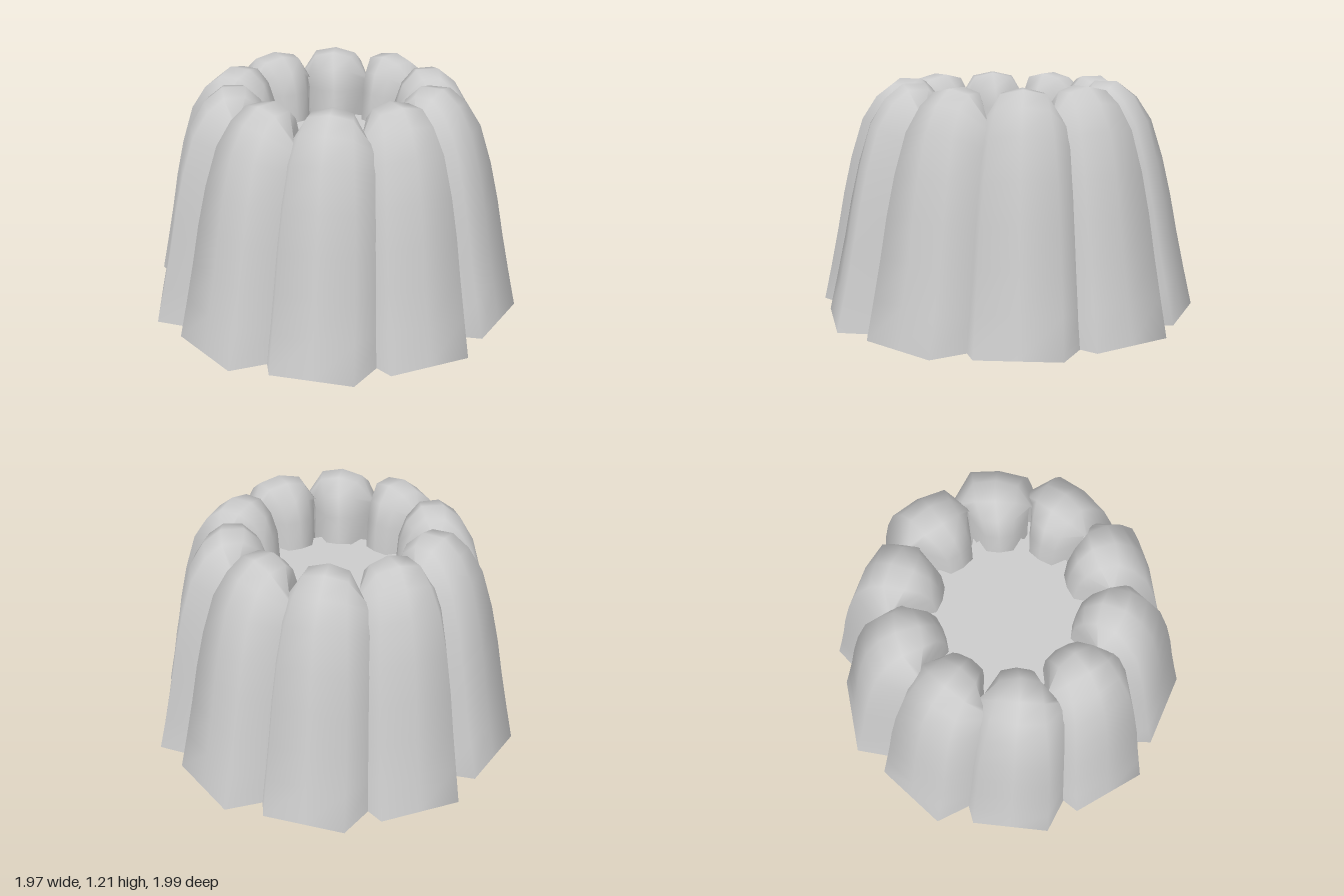
import * as THREE from 'three';

const LOBES = 10;

// Ridge of one lobe, from the outer foot over the crest and down into the hollow:
// radius, height, half width of the ridge, bulge of its middle, depth of the flanks
const RIDGE = [
  [0.955, 0.0, 0.21, 0.0, 0.2],
  [0.91, 0.2, 0.202, 0.004, 0.2],
  [0.868, 0.4, 0.193, 0.008, 0.2],
  [0.83, 0.6, 0.185, 0.012, 0.2],
  [0.785, 0.8, 0.172, 0.016, 0.19],
  [0.725, 1.0, 0.152, 0.02, 0.17],
  [0.65, 1.12, 0.13, 0.025, 0.15],
  [0.57, 1.185, 0.112, 0.025, 0.14],
  [0.47, 1.185, 0.1, 0.025, 0.13],
  [0.4, 1.12, 0.082, 0.02, 0.13],
  [0.36, 1.02, 0.072, 0.012, 0.13],
  [0.345, 0.8, 0.07, 0.01, 0.13],
];

// Five points across the ridge at station i, in the lobe's own frame (+x outward)
function crossSection(i) {
  const [r, y, half, bulge, depth] = RIDGE[i];
  const before = RIDGE[Math.max(i - 1, 0)];
  const after = RIDGE[Math.min(i + 1, RIDGE.length - 1)];
  const normal = new THREE.Vector2(after[1] - before[1], before[0] - after[0]).normalize();
  if (i === 0) normal.set(1, 0);
  // the lobe swings a little sideways as it runs outward
  const side = r > 0.5 ? 0.0125 + (r - 0.955) * 0.14 : -0.05 + (0.5 - r) * 0.15;
  const yaw = 0.14 * Math.min(1, Math.max(0, (r - 0.34) / 0.3));
  const flank = half + 0.08;
  return [[-flank, -depth], [-half, 0], [0, bulge], [half, 0], [flank, -depth]].map(([v, d]) => {
    const u = normal.x * d;
    return new THREE.Vector3(
      r + u * Math.cos(yaw) - v * Math.sin(yaw),
      y + normal.y * d,
      side + u * Math.sin(yaw) + v * Math.cos(yaw)
    );
  });
}

function buildGeometry(points, index) {
  const geometry = new THREE.BufferGeometry().setFromPoints(points);
  geometry.setIndex(index);
  geometry.computeVertexNormals();
  return geometry;
}

function lobeGeometry() {
  const points = RIDGE.flatMap((_, i) => crossSection(i));
  const index = [];
  for (let i = 0; i < RIDGE.length - 1; i++) {
    for (let j = 0; j < 4; j++) {
      const a = i * 5 + j;
      index.push(a, a + 5, a + 1, a + 1, a + 5, a + 6);
    }
  }
  return buildGeometry(points, index);
}

// Flat underside of one lobe, reaching the centre
function undersideGeometry() {
  const points = [new THREE.Vector3(), ...crossSection(0)];
  return buildGeometry(points, [0, 1, 2, 0, 2, 3, 0, 3, 4, 0, 4, 5]);
}

export function createModel() {
  const model = new THREE.Group();
  model.name = 'flutedRingMould';
  const material = new THREE.MeshStandardMaterial({ color: 0xcccccc, side: THREE.DoubleSide });

  // Ring of lobes
  const lobe = lobeGeometry();
  const underside = undersideGeometry();
  for (let k = 0; k < LOBES; k++) {
    const group = new THREE.Group();
    group.name = 'lobe' + (k + 1);
    const wall = new THREE.Mesh(lobe, material);
    wall.name = 'lobeWall';
    const foot = new THREE.Mesh(underside, material);
    foot.name = 'lobeUnderside';
    group.add(wall, foot);
    group.rotation.y = (k / LOBES) * Math.PI * 2;
    model.add(group);
  }

  // Floor of the central hollow
  const floor = new THREE.Mesh(new THREE.CircleGeometry(0.43, 20), material);
  floor.name = 'hollowFloor';
  floor.rotation.x = -Math.PI / 2;
  floor.position.y = 0.865;
  model.add(floor);

  return model;
}
